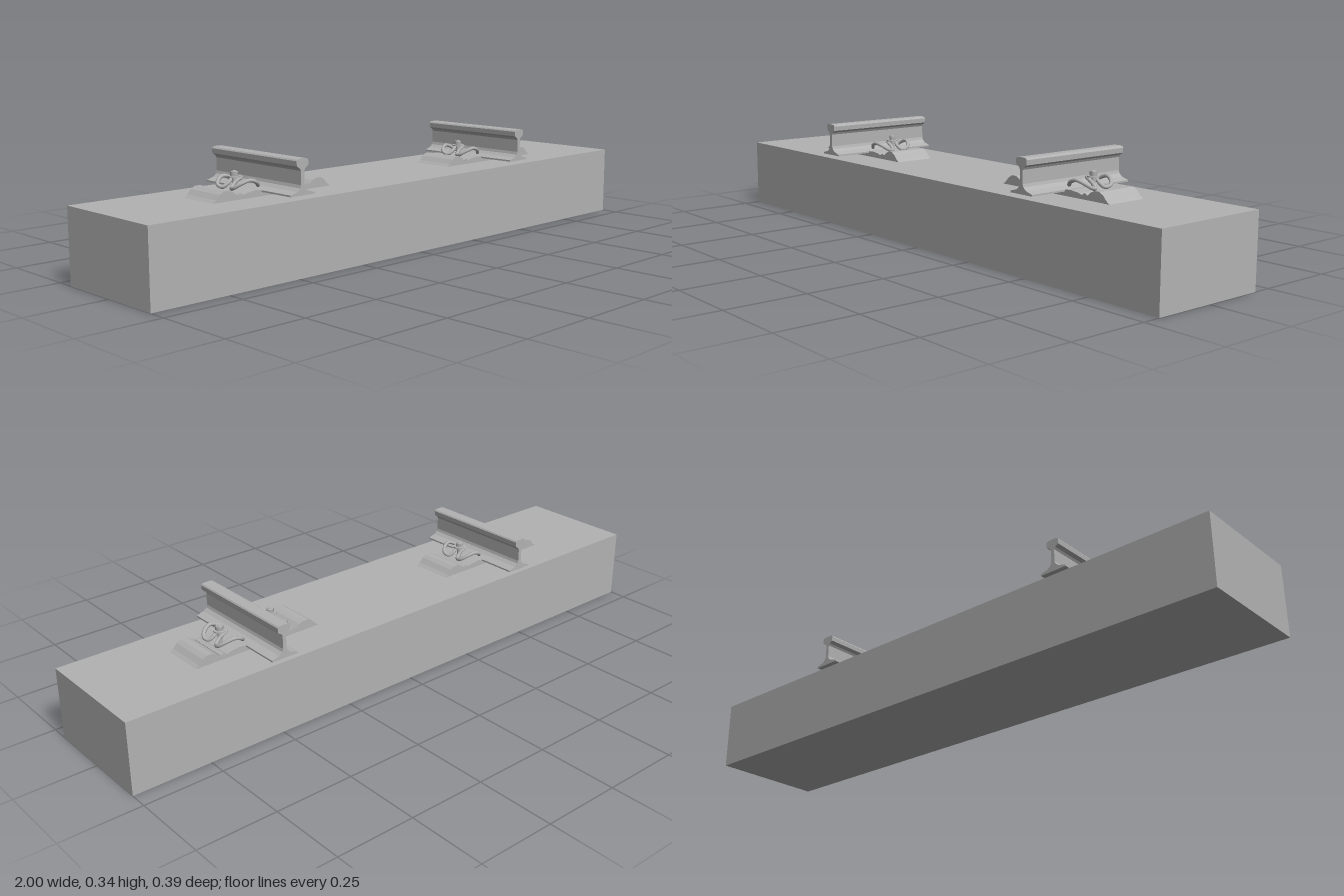
import * as THREE from 'three';

const DEPTH = 0.387, PLATE = 0.136, TOP = 0.227;

export function createModel() {
  const grey = new THREE.MeshStandardMaterial({ color: 0xb2b2b2 });
  grey.name = 'concrete grey';

  function add(parent, name, geometry, x = 0, y = 0, z = 0) {
    const mesh = new THREE.Mesh(geometry, grey);
    mesh.name = name;
    mesh.position.set(x, y, z);
    parent.add(mesh);
    return mesh;
  }

  // Extrude an x/y profile along z, centred on z = 0
  function prism(points, depth) {
    const shape = new THREE.Shape(points.map(([x, y]) => new THREE.Vector2(x, y)));
    const g = new THREE.ExtrudeGeometry(shape, { depth, bevelEnabled: false });
    return g.translate(0, 0, -depth / 2);
  }

  // Half of the rail profile, mirrored about its web
  const half = [
    [0.045, 0.239], [0.045, 0.244], [0.02, 0.251], [0.009, 0.26], [0.006, 0.269],
    [0.006, 0.309], [0.01, 0.316], [0.021, 0.323], [0.022, 0.338], [0.019, 0.342], [0.012, 0.344],
  ];
  const railGeo = prism([...half, ...half.map(([x, y]) => [-x, y]).reverse()], DEPTH);

  // Raised concrete shoulder and the guide plate between it and the rail foot
  const shoulderGeo = prism([
    [0.122, TOP], [0.218, TOP], [0.207, 0.235], [0.194, 0.249], [0.18, 0.257],
    [0.162, 0.257], [0.148, 0.251], [0.134, 0.24],
  ], PLATE);
  const guideGeo = prism([
    [0.046, TOP], [0.132, TOP], [0.134, 0.241], [0.124, 0.246], [0.112, 0.239],
    [0.1, 0.243], [0.068, 0.247], [0.046, 0.245],
  ], PLATE);

  // W-shaped spring clip: one arm, mirrored in z, meeting in the middle loop
  const arm = [
    [0.044, 0.257, 0.05], [0.058, 0.268, 0.059], [0.083, 0.276, 0.061], [0.107, 0.268, 0.053],
    [0.121, 0.256, 0.037], [0.117, 0.252, 0.02], [0.103, 0.262, 0.013], [0.085, 0.275, 0.014],
    [0.074, 0.278, 0.01],
  ];
  const path = [...arm, [0.07, 0.279, 0], ...arm.map(([x, y, z]) => [x, y, -z]).reverse()];
  const clipCurve = new THREE.CatmullRomCurve3(path.map((p) => new THREE.Vector3(...p)));
  const clipGeo = new THREE.TubeGeometry(clipCurve, 96, 0.0058, 8);

  // One fastening, reaching outwards along +x from the rail
  function fastening() {
    const g = new THREE.Group();
    g.name = 'railFastening';
    add(g, 'shoulder', shoulderGeo);
    add(g, 'guidePlate', guideGeo);
    add(g, 'springClip', clipGeo);
    for (const end of [0, 1]) {
      const p = clipCurve.getPoint(end);
      add(g, 'clipTip', new THREE.SphereGeometry(0.0058, 8, 6), p.x, p.y, p.z);
    }
    add(g, 'boltShaft', new THREE.CylinderGeometry(0.007, 0.007, 0.045, 12), 0.09, 0.26);
    add(g, 'washer', new THREE.CylinderGeometry(0.019, 0.019, 0.004, 20), 0.09, 0.282);
    add(g, 'boltHead', new THREE.CylinderGeometry(0.012, 0.012, 0.012, 6), 0.09, 0.29);
    add(g, 'boltTop', new THREE.CylinderGeometry(0.006, 0.007, 0.003, 12), 0.09, 0.2975);
    return g;
  }

  const model = new THREE.Group();
  model.name = 'railSleeper';
  add(model, 'sleeper', new THREE.BoxGeometry(2, TOP, DEPTH), 0, TOP / 2);

  // Two rails, each with a pad and a fastening on both sides
  for (const side of [-1, 1]) {
    const seat = new THREE.Group();
    seat.name = side > 0 ? 'leftRailSeat' : 'rightRailSeat';
    seat.position.x = side * 0.485;
    add(seat, 'rail', railGeo);
    add(seat, 'railPad', new THREE.BoxGeometry(0.092, 0.012, PLATE), 0, TOP + 0.006);
    for (const turn of [0, Math.PI]) {
      const f = fastening();
      f.rotation.y = turn;
      seat.add(f);
    }
    model.add(seat);
  }
  return model;
}
